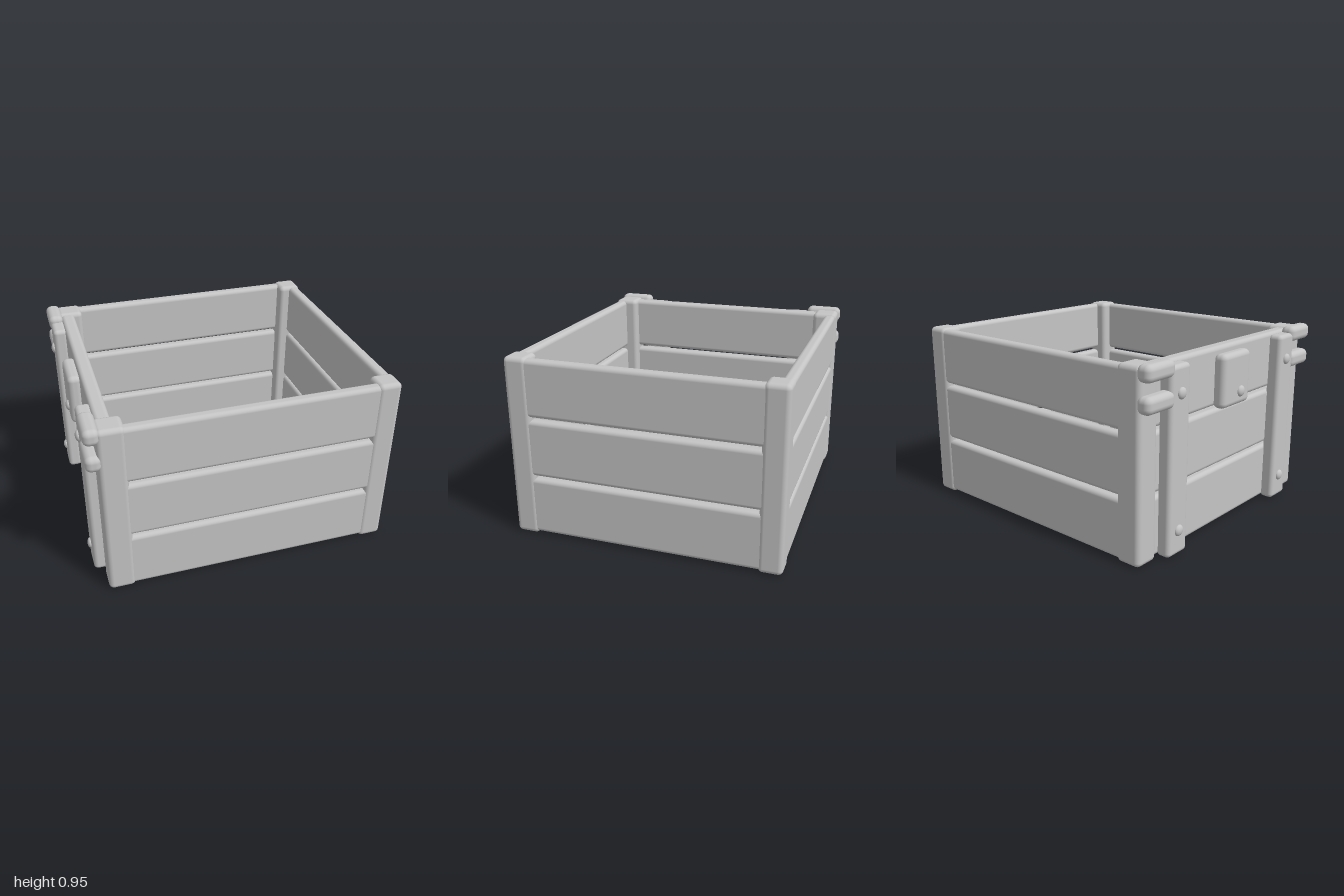
import * as THREE from 'three';
import { RoundedBoxGeometry } from 'three/addons/geometries/RoundedBoxGeometry.js';

const grey = new THREE.MeshStandardMaterial({ color: 0xc4c4c4 });
grey.name = 'light grey';

export function createModel() {
  const model = new THREE.Group();
  model.name = 'crate';
  const crate = new THREE.Group();
  crate.name = 'crateBody';
  crate.rotation.y = THREE.MathUtils.degToRad(-28);
  model.add(crate);

  // Rounded block given by its extents on each axis
  function block(name, [x0, x1], [y0, y1], [z0, z1], radius) {
    const g = new RoundedBoxGeometry(x1 - x0, y1 - y0, z1 - z0, 3, radius);
    const m = new THREE.Mesh(g, grey);
    m.name = name;
    m.position.set((x0 + x1) / 2, (y0 + y1) / 2, (z0 + z1) / 2);
    crate.add(m);
  }

  // Domed bolt head on the hardware side
  function bolt(x, y, z) {
    const m = new THREE.Mesh(new THREE.SphereGeometry(0.028, 16, 10), grey);
    m.name = 'bolt';
    m.scale.x = 0.6;
    m.position.set(x, y, z);
    crate.add(m);
  }

  // Floor
  block('floor', [-0.67, 0.73], [0.005, 0.06], [-0.66, 0.66], 0.005);

  // Three planks on each of the four sides
  for (const [y0, y1] of [[0.01, 0.31], [0.325, 0.622], [0.638, 0.932]]) {
    block('rightPlank', [0.695, 0.757], [y0, y1], [-0.64, 0.64], 0.022);
    block('leftPlank', [-0.71, -0.635], [y0, y1], [-0.64, 0.64], 0.022);
    block('frontPlank', [-0.67, 0.71], [y0, y1], [0.63, 0.692], 0.022);
    block('backPlank', [-0.67, 0.71], [y0, y1], [-0.692, -0.63], 0.022);
  }

  for (const s of [-1, 1]) {
    const span = (a, b) => (s > 0 ? [a, b] : [-b, -a]);

    // Corner posts
    block('rightPost', [0.638, 0.762], [0, 0.94], span(0.574, 0.697), 0.025);
    block('leftPost', [-0.725, -0.59], [0, 0.94], span(0.565, 0.697), 0.025);

    // Two clamps at each left corner
    block('upperClamp', [-0.782, -0.705], [0.87, 0.952], span(0.51, 0.705), 0.03);
    block('lowerClamp', [-0.782, -0.705], [0.73, 0.812], span(0.51, 0.705), 0.03);

    // Upright batten with its bolts
    block('batten', [-0.775, -0.7], [0.005, 0.92], span(0.395, 0.54), 0.022);
    bolt(-0.775, 0.13, s * 0.465);
    bolt(-0.775, 0.79, s * 0.465);
  }

  // Latch plate
  block('latchPlate', [-0.77, -0.7], [0.63, 0.9], [-0.12, 0.118], 0.028);
  bolt(-0.77, 0.7, 0.03);

  return model;
}
